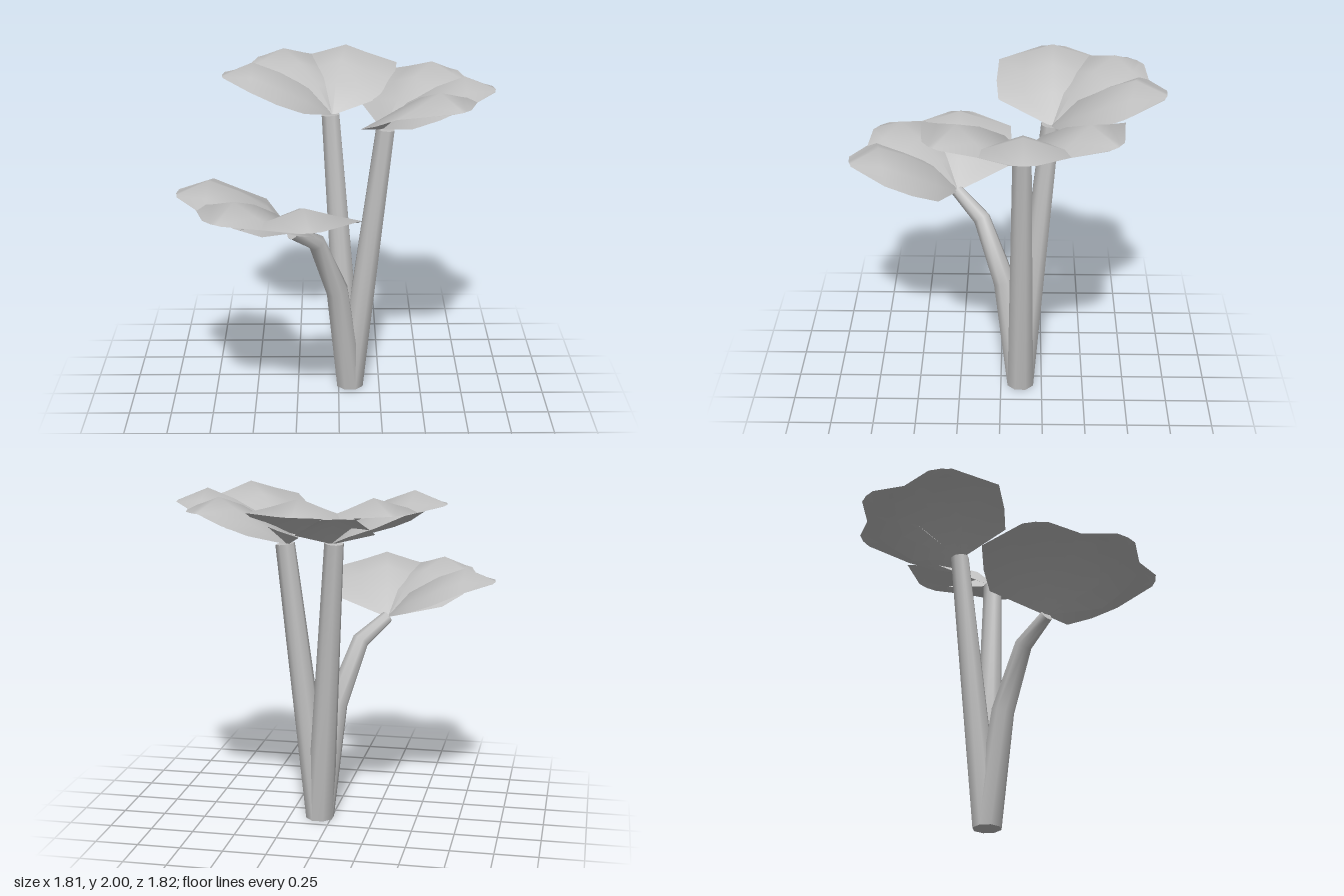
import * as THREE from 'three';

const UP = new THREE.Vector3(0, 1, 0);
const SIDES = 8;

// Tapered stem: one ring per path point [x, y, z, radius], mitred at the bends
function stemGeometry(path) {
  const points = path.map(p => new THREE.Vector3(p[0], p[1], p[2]));
  const pos = [], index = [];
  points.forEach((p, i) => {
    const tangent = new THREE.Vector3();
    if (i === 0) tangent.copy(UP);
    else {
      tangent.add(p.clone().sub(points[i - 1]).normalize());
      if (i < points.length - 1) tangent.add(points[i + 1].clone().sub(p).normalize());
      tangent.normalize();
    }
    const q = new THREE.Quaternion().setFromUnitVectors(UP, tangent);
    for (let k = 0; k < SIDES; k++) {
      const a = (k + 0.5) / SIDES * Math.PI * 2;
      const v = new THREE.Vector3(Math.cos(a), 0, Math.sin(a)).multiplyScalar(path[i][3]);
      v.applyQuaternion(q).add(p);
      pos.push(v.x, v.y, v.z);
    }
  });
  for (let i = 0; i < path.length - 1; i++) {
    for (let k = 0; k < SIDES; k++) {
      const a = i * SIDES + k, b = i * SIDES + (k + 1) % SIDES;
      index.push(a, a + SIDES, b, b, a + SIDES, b + SIDES);
    }
  }
  // End caps with their own vertices, so the rims stay sharp
  for (const [ring, flip] of [[0, false], [path.length - 1, true]]) {
    const start = pos.length / 3;
    pos.push(...pos.slice(ring * SIDES * 3, (ring + 1) * SIDES * 3));
    for (let k = 1; k < SIDES - 1; k++) {
      if (flip) index.push(start, start + k + 1, start + k);
      else index.push(start, start + k, start + k + 1);
    }
  }
  return toGeometry(pos, index);
}

function toGeometry(pos, index) {
  const g = new THREE.BufferGeometry();
  g.setAttribute('position', new THREE.Float32BufferAttribute(pos, 3));
  g.setIndex(index);
  g.computeVertexNormals();
  return g;
}

// Arched petal pointing along +x; rows: centre x, centre y, edge x, edge y, half width
function petalGeometry() {
  const rows = [
    [0, 0, 0, 0, 0.02],
    [0.13, 0.15, 0.15, 0.09, 0.31],
    [0.30, 0.25, 0.30, 0.145, 0.325],
    [0.46, 0.31, 0.455, 0.215, 0.315],
    [0.64, 0.235, 0.63, 0.235, 0.07],
  ];
  const pos = [], index = [], cols = 5;
  rows.forEach(([cx, cy, ex, ey, w], i) => {
    for (let j = 0; j < cols; j++) {
      const s = j / 2 - 1;
      const f = Math.pow(Math.abs(s), 0.9);
      pos.push(cx + (ex - cx) * f, cy + (ey - cy) * f, s * w);
      if (i < rows.length - 1 && j < cols - 1) {
        const a = i * cols + j;
        index.push(a, a + 1, a + cols, a + 1, a + cols + 1, a + cols);
      }
    }
  });
  return toGeometry(pos, index);
}

export function createModel() {
  const model = new THREE.Group();
  model.name = 'flowerCluster';
  const grey = new THREE.MeshStandardMaterial({ color: 0xc0c0c0, side: THREE.DoubleSide });
  grey.name = 'plain grey';

  const root = [0.07, 0, -0.12, 0.085];
  const flowers = [
    // Bent front stem
    { name: 'frontFlower', heading: 130, base: [-0.27, 1.16, 0.265],
      path: [root, [-0.01, 0.68, -0.02, 0.068], [-0.13, 1.04, 0.115, 0.052], [-0.265, 1.155, 0.265, 0.038]] },
    // Straight stems
    { name: 'backFlower', heading: 231, base: [-0.04, 1.69, -0.29],
      path: [root, [-0.047, 1.69, -0.28, 0.056]] },
    { name: 'sideFlower', heading: 0, base: [0.26, 1.65, -0.125],
      path: [root, [0.27, 1.65, -0.12, 0.057]] },
  ];

  const petal = petalGeometry();
  for (const { name, heading, base, path } of flowers) {
    const flower = new THREE.Group();
    flower.name = name;
    const stem = new THREE.Mesh(stemGeometry(path), grey);
    stem.name = 'stem';
    flower.add(stem);
    // Three petals fanned around the heading
    for (const offset of [-50, 0, 50]) {
      const mesh = new THREE.Mesh(petal, grey);
      mesh.name = 'petal';
      mesh.position.set(...base);
      mesh.rotation.y = -THREE.MathUtils.degToRad(heading + offset);
      flower.add(mesh);
    }
    model.add(flower);
  }
  return model;
}
